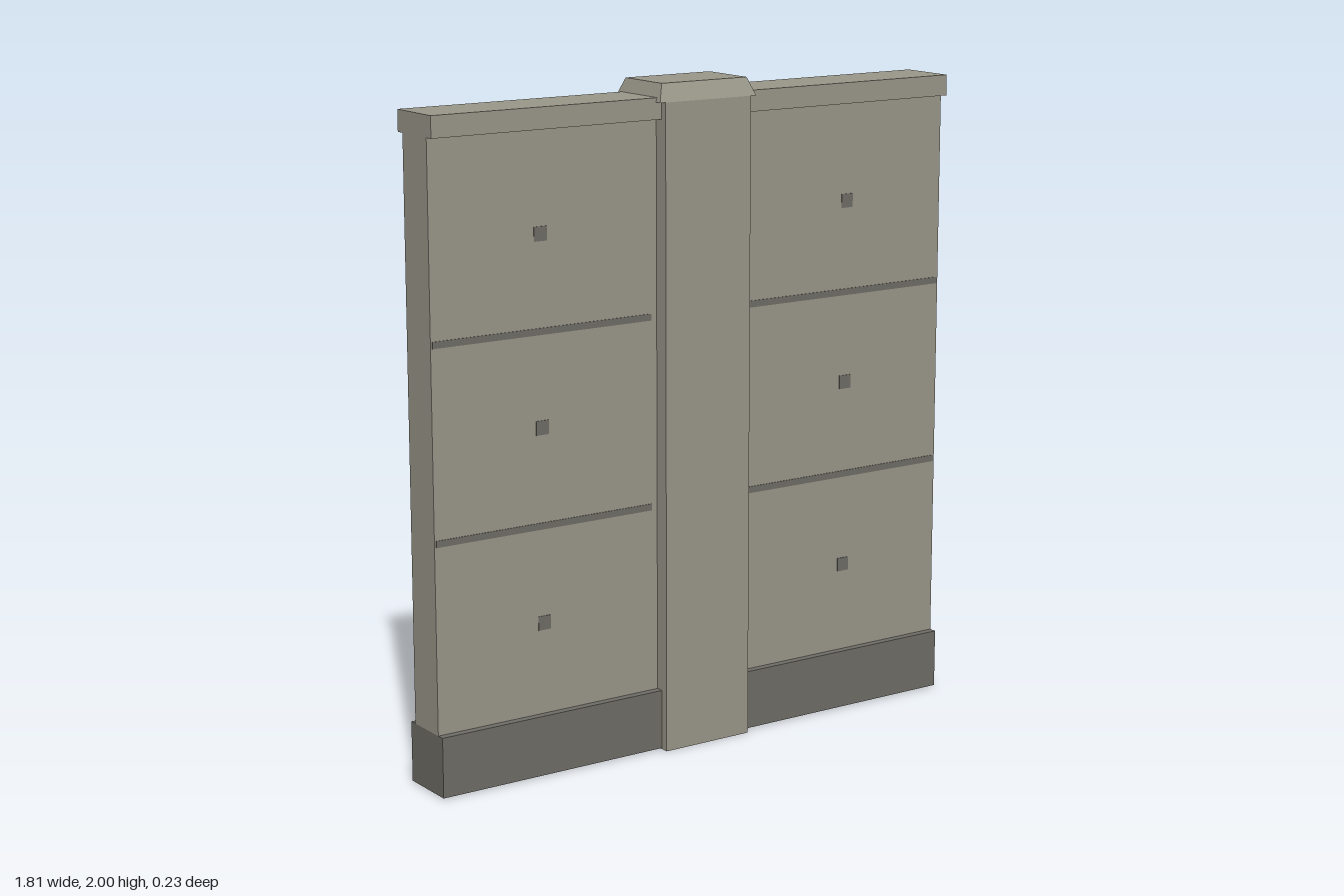
import * as THREE from 'three';

const stone = new THREE.MeshStandardMaterial({ color: 0x9a978a, side: THREE.DoubleSide });
stone.name = 'stone';
const darkStone = new THREE.MeshStandardMaterial({ color: 0x6f6d66, side: THREE.DoubleSide });
darkStone.name = 'dark stone';

const HALF_LENGTH = 0.905;
const PILLAR_X = 0.15;
const WALL_Z = 0.066;

function addMesh(parent, name, geometry, material) {
  const mesh = new THREE.Mesh(geometry, material);
  mesh.name = name;
  parent.add(mesh);
  return mesh;
}

// Box hollow from below: the bottom face is left out
function openBox(x0, x1, y0, y1, halfZ) {
  const g = new THREE.BoxGeometry(x1 - x0, y1 - y0, halfZ * 2);
  const index = Array.from(g.index.array);
  index.splice(18, 6);
  g.setIndex(index);
  g.clearGroups();
  g.translate((x0 + x1) / 2, (y0 + y1) / 2, 0);
  return g;
}

// One wall bay, on the side given by sign
function addBay(parent, side) {
  const bay = new THREE.Group();
  bay.name = side > 0 ? 'leftBay' : 'rightBay';
  parent.add(bay);
  const x0 = side > 0 ? PILLAR_X : -HALF_LENGTH;
  const x1 = side > 0 ? HALF_LENGTH : -PILLAR_X;

  addMesh(bay, 'plinth', openBox(x0, x1, 0.004, 0.185, 0.09), darkStone);
  addMesh(bay, 'wallPanel', openBox(x0, x1, 0.185, 1.897, WALL_Z), stone);
  addMesh(bay, 'coping', openBox(x0, x1, 1.897, 1.96, 0.092), stone);

  // Joints and tie holes on both faces
  for (const face of [1, -1]) {
    const z = face * WALL_Z;
    for (const y of [0.75, 1.32]) {
      addMesh(bay, 'jointStrip', new THREE.BoxGeometry(0.73, 0.02, 0.004), darkStone)
        .position.set(side * 0.535, y, z);
    }
    for (const y of [0.46, 1.04, 1.6]) {
      addMesh(bay, 'tieHole', new THREE.BoxGeometry(0.042, 0.042, 0.004), darkStone)
        .position.set(side * 0.545, y, z);
    }
  }
}

export function createModel() {
  const model = new THREE.Group();
  model.name = 'wallSection';

  for (const side of [1, -1]) addBay(model, side);

  // Central pillar
  addMesh(model, 'pillar', openBox(-PILLAR_X, PILLAR_X, 0, 1.947, 0.114), stone);

  // Bevelled cap, narrowing towards the top
  const cap = new THREE.BoxGeometry(0.338, 0.053, 0.228);
  const p = cap.attributes.position;
  for (let i = 0; i < p.count; i++) {
    if (p.getY(i) > 0) {
      p.setX(i, Math.sign(p.getX(i)) * 0.149);
      p.setZ(i, Math.sign(p.getZ(i)) * 0.093);
    }
  }
  cap.computeVertexNormals();
  addMesh(model, 'pillarCap', cap, stone).position.y = 1.9735;

  return model;
}
